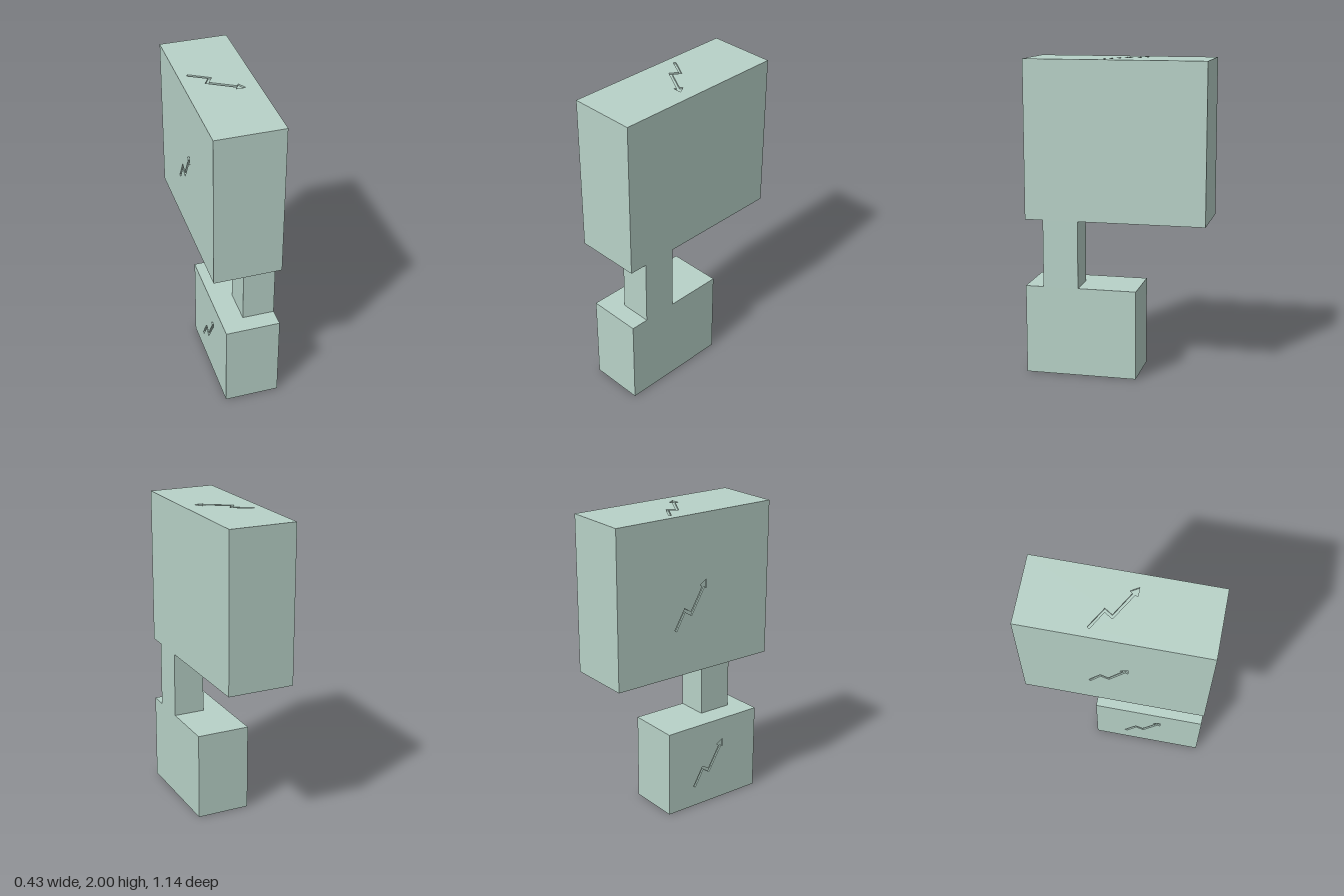
import * as THREE from 'three';

const DEPTH = 0.01; // depth of the engraved arrows

// Zigzag arrow outline as [x, z] on the top face
const ARROW = [
  [-0.152, -0.157], [-0.027, -0.083], [-0.058, -0.035], [0.088, 0.05],
  [0.1, 0.033], [0.13, 0.083], [0.073, 0.083], [0.082, 0.067],
  [-0.082, -0.03], [-0.05, -0.08], [-0.163, -0.144],
];

export function createModel() {
  const model = new THREE.Group();
  const material = new THREE.MeshStandardMaterial({ color: 0xb8d2c8, flatShading: true });

  // Box given by its two extreme corners
  function box(name, [x0, y0, z0], [x1, y1, z1]) {
    const mesh = new THREE.Mesh(new THREE.BoxGeometry(x1 - x0, y1 - y0, z1 - z0), material);
    mesh.position.set((x0 + x1) / 2, (y0 + y1) / 2, (z0 + z1) / 2);
    mesh.name = name;
    model.add(mesh);
  }

  // Thin facing plate with an arrow-shaped cut-out
  function engravedPlate(name, [u0, v0], [u1, v1], arrow) {
    const shape = new THREE.Shape([[u0, v0], [u1, v0], [u1, v1], [u0, v1]]
      .map(([u, v]) => new THREE.Vector2(u, v)));
    shape.holes.push(new THREE.Path(arrow.map(([u, v]) => new THREE.Vector2(u, v))));
    const geometry = new THREE.ExtrudeGeometry(shape, { depth: DEPTH, bevelEnabled: false });
    const mesh = new THREE.Mesh(geometry, material);
    mesh.name = name;
    model.add(mesh);
    return mesh;
  }

  // Plate on a -x face, with the arrow turned a quarter to point upwards
  function sidePlate(name, x, from, to, cz, cy) {
    const plate = engravedPlate(name, from, to, ARROW.map(([a, b]) => [b + cz, a + cy]));
    plate.rotation.y = -Math.PI / 2;
    plate.position.x = x + DEPTH;
  }

  // Upper block with engraved top and side
  box('upperBlock', [-0.214 + DEPTH, 1, -0.571], [0.214, 2 - DEPTH, 0.571]);
  sidePlate('upperSidePlate', -0.214, [-0.571, 1], [0.571, 2 - DEPTH], 0, 1.455);
  const top = engravedPlate('topPlate', [-0.214, -0.571], [0.214, 0.571],
    ARROW.map(([x, z]) => [x, -z]));
  top.rotation.x = -Math.PI / 2;
  top.position.y = 2 - DEPTH;

  // Neck, flush with the right-hand face
  box('neck', [0.01, 0.571, 0.23], [0.214, 1, 0.455]);

  // Lower block with engraved side
  box('lowerBlock', [-0.134 + DEPTH, 0, -0.141], [0.214, 0.571, 0.571]);
  sidePlate('lowerSidePlate', -0.134, [-0.141, 0], [0.571, 0.571], 0.215, 0.295);

  return model;
}
